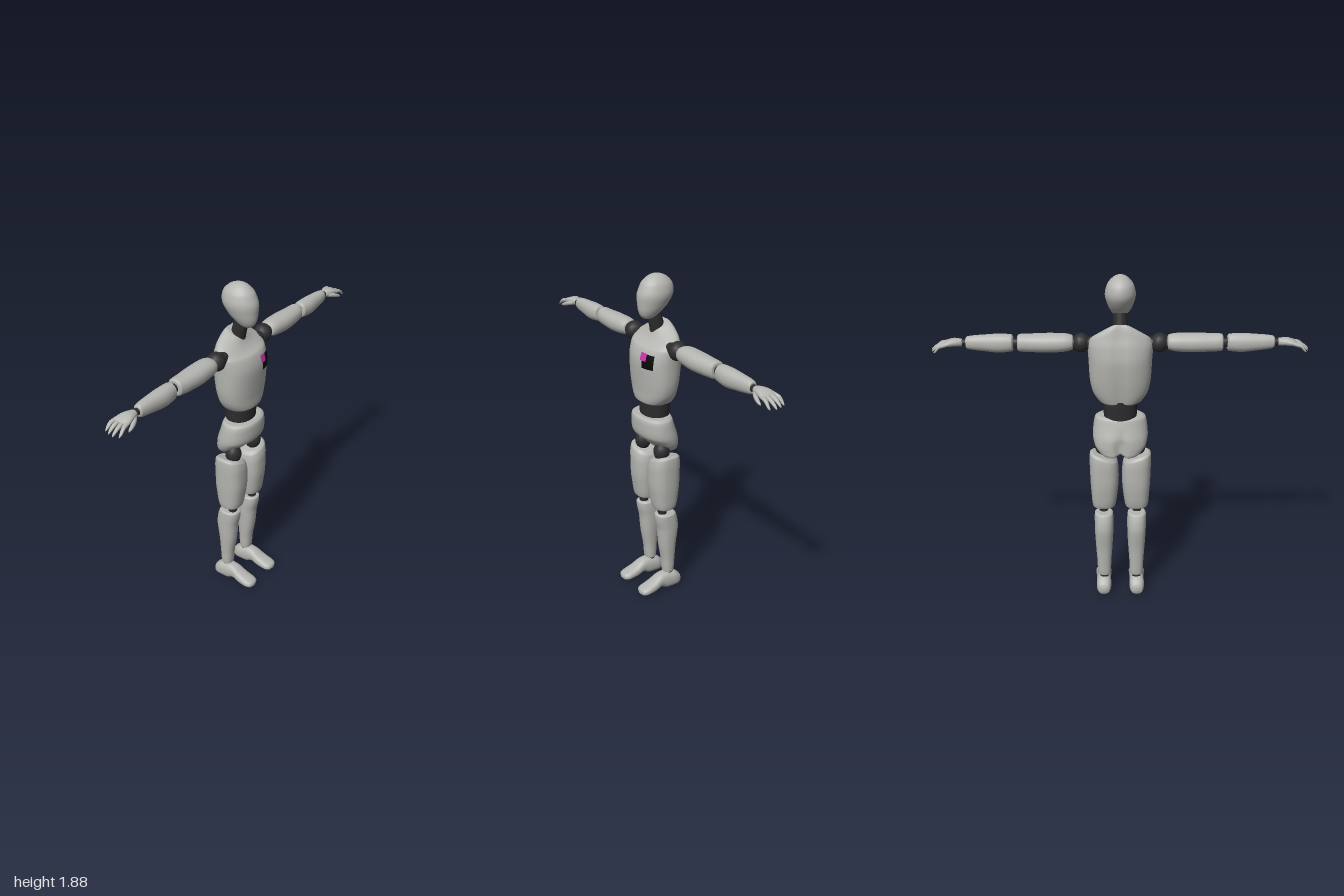
import * as THREE from 'three';

const makeMat = (name, color) => Object.assign(new THREE.MeshStandardMaterial({ color }), { name });

// Monotone cubic through rows [t, halfA, halfB, centreA, centreB]
function sample(rows, t) {
  const last = rows.length - 1;
  let i = 0;
  while (i < last - 1 && t > rows[i + 1][0]) i++;
  const d = (k, c) => (rows[k + 1][c] - rows[k][c]) / (rows[k + 1][0] - rows[k][0]);
  const slope = (k, c) => {
    if (k === 0) return d(0, c);
    if (k === last) return d(last - 1, c);
    const p = d(k - 1, c), q = d(k, c);
    return p * q <= 0 ? 0 : (2 * p * q) / (p + q);
  };
  const h = rows[i + 1][0] - rows[i][0], u = (t - rows[i][0]) / h;
  return [1, 2, 3, 4].map((c) =>
    rows[i][c] * (1 + 2 * u) * (1 - u) ** 2 + rows[i + 1][c] * u * u * (3 - 2 * u) +
    h * (slope(i, c) * u * (1 - u) ** 2 + slope(i + 1, c) * u * u * (u - 1)));
}

// Closed solid from superellipse sections along an axis; warp may move each vertex
function loft(rows, { axis = 'y', n = 2.2, seg = 28, sub = 4, warp } = {}) {
  const pos = [], idx = [], ts = [], v = new THREE.Vector3();
  rows.forEach((r, i) => {
    const next = rows[i + 1];
    if (next) for (let k = 0; k < sub; k++) ts.push(r[0] + ((next[0] - r[0]) * k) / sub);
    else ts.push(r[0]);
  });
  const put = (a, t, b) => {
    if (axis === 'x') v.set(t, a, b);
    else if (axis === 'z') v.set(a, b, t);
    else v.set(a, t, b);
    if (warp) warp(v);
    pos.push(v.x, v.y, v.z);
  };
  const pw = (c) => Math.sign(c) * Math.abs(c) ** (2 / n);
  const ring = (t) => {
    const [ha, hb, ca, cb] = sample(rows, t);
    for (let j = 0; j < seg; j++) {
      const a = (j / seg) * Math.PI * 2;
      put(ca + ha * pw(Math.cos(a)), t, cb + hb * pw(Math.sin(a)));
    }
    return [ca, cb];
  };
  const tri = (a, b, c) => (axis === 'y' ? idx.push(a, b, c) : idx.push(a, c, b));
  ts.forEach(ring);
  for (let i = 0; i < ts.length - 1; i++) for (let j = 0; j < seg; j++) {
    const a = i * seg + j, c = i * seg + ((j + 1) % seg);
    tri(a, a + seg, c);
    tri(a + seg, c + seg, c);
  }
  [ts[0], ts[ts.length - 1]].forEach((t, end) => {
    const base = pos.length / 3, [ca, cb] = ring(t);
    put(ca, t, cb);
    for (let j = 0; j < seg; j++) {
      const k = base + ((j + 1) % seg);
      if (end) tri(base + seg, k, base + j);
      else tri(base + seg, base + j, k);
    }
  });
  const g = new THREE.BufferGeometry();
  g.setAttribute('position', new THREE.Float32BufferAttribute(pos, 3));
  g.setIndex(idx);
  g.computeVertexNormals();
  return g;
}

function mirrored(geo) {
  const g = geo.clone().scale(-1, 1, 1), ix = g.index.array;
  for (let i = 0; i < ix.length; i += 3) [ix[i + 1], ix[i + 2]] = [ix[i + 2], ix[i + 1]];
  return g;
}

export function createModel() {
  const model = new THREE.Group();
  model.name = 'mannequin';
  const shell = makeMat('shell grey', 0xb5b5b1), joint = makeMat('joint charcoal', 0x2d2d2f);
  const black = makeMat('badge black', 0x080808), pink = makeMat('badge magenta', 0xcc35ac);
  const add = (name, geo, mat) => {
    const m = new THREE.Mesh(geo, mat);
    m.name = name;
    model.add(m);
  };
  const pair = (name, geo, mat) => {
    add(name + 'Left', geo, mat);
    add(name + 'Right', mirrored(geo), mat);
  };
  const ball = (x, y, z, rx, ry, rz) => new THREE.SphereGeometry(1, 14, 10).scale(rx, ry, rz).translate(x, y, z);
  const bell = (x, w) => Math.exp(-((x / w) ** 2));

  // Head and neck
  add('head', loft([[1.643, 0.004, 0.004, 0, 0.02], [1.65, 0.026, 0.03, 0, 0.018], [1.68, 0.05, 0.062, 0, 0.006],
    [1.72, 0.068, 0.086, 0, -0.012], [1.775, 0.081, 0.102, 0, -0.027], [1.825, 0.071, 0.09, 0, -0.034],
    [1.86, 0.045, 0.058, 0, -0.034], [1.874, 0.024, 0.03, 0, -0.032], [1.88, 0.003, 0.003, 0, -0.03]], { n: 2 }), shell);
  add('neck', loft([[1.52, 0.042, 0.044, 0, -0.05], [1.58, 0.04, 0.042, 0, -0.042], [1.64, 0.038, 0.04, 0, -0.028],
    [1.69, 0.036, 0.036, 0, -0.02]], { n: 2 }), joint);

  // Torso with a collar sloping down to the front and a shallow spine groove
  const torso = [[1.18, 0.1, 0.08, 0, -0.02], [1.19, 0.117, 0.09, 0, -0.018], [1.25, 0.152, 0.098, 0, -0.022],
    [1.32, 0.165, 0.106, 0, -0.025], [1.42, 0.17, 0.113, 0, -0.028], [1.5, 0.174, 0.098, 0, -0.035],
    [1.545, 0.16, 0.076, 0, -0.042], [1.585, 0.095, 0.056, 0, -0.052], [1.608, 0.05, 0.046, 0, -0.055]];
  add('torso', loft(torso, {
    n: 2.3, seg: 40, warp(v) {
      const s = THREE.MathUtils.smoothstep(v.y, 1.48, 1.6);
      if (v.z < -0.05) v.z += 0.01 * bell(v.x, 0.03);
      v.y -= s * (v.z + 0.055) * 0.55;
    },
  }), shell);

  // Chest badges following the torso surface
  const badge = (name, mat, x0, x1, y0, y1, lift) => {
    const g = new THREE.PlaneGeometry(x1 - x0, y1 - y0, 8, 8).translate((x0 + x1) / 2, (y0 + y1) / 2, 0);
    const p = g.attributes.position;
    for (let i = 0; i < p.count; i++) {
      const [hw, hd, , cz] = sample(torso, p.getY(i));
      p.setZ(i, cz + hd * (1 - (Math.abs(p.getX(i)) / hw) ** 2.3) ** (1 / 2.3) + lift);
    }
    g.computeVertexNormals();
    mat.side = THREE.DoubleSide;
    add(name, g, mat);
  };
  badge('chestBadge', black, 0.043, 0.12, 1.397, 1.475, 0.005);
  badge('chestBadgeCorner', pink, 0.031, 0.075, 1.438, 1.48, 0.008);

  // Waist and pelvis
  add('waist', loft([[1.08, 0.088, 0.072, 0, -0.025], [1.13, 0.092, 0.075, 0, -0.025], [1.2, 0.096, 0.078, 0, -0.025]]), joint);
  add('pelvis', loft([[0.875, 0.045, 0.02, 0, -0.095], [0.885, 0.09, 0.046, 0, -0.088], [0.91, 0.122, 0.066, 0, -0.07],
    [0.945, 0.143, 0.083, 0, -0.052], [0.99, 0.152, 0.104, 0, -0.026], [1.05, 0.147, 0.097, 0, -0.013],
    [1.088, 0.139, 0.09, 0, -0.009], [1.1, 0.122, 0.078, 0, -0.01]], {
    seg: 40, warp(v) {
      const low = 1 - THREE.MathUtils.smoothstep(v.y, 0.92, 1.06);
      if (v.z < -0.05) {
        v.z += 0.028 * low * bell(v.x, 0.022);
        v.y += 0.015 * low * bell(v.x, 0.025);
      }
    },
  }), shell);

  // Legs
  pair('hipJoint', ball(0.093, 0.9, -0.01, 0.046, 0.055, 0.045), joint);
  pair('thigh', loft([[0.545, 0.055, 0.05, 0.092, -0.028], [0.555, 0.064, 0.063, 0.092, -0.028], [0.62, 0.073, 0.076, 0.09, -0.028],
    [0.72, 0.08, 0.086, 0.089, -0.027], [0.8, 0.081, 0.086, 0.091, -0.027], [0.85, 0.077, 0.08, 0.093, -0.029],
    [0.866, 0.062, 0.066, 0.094, -0.03]], {
    n: 2.5, warp(v) { v.y += THREE.MathUtils.smoothstep(v.y, 0.72, 0.86) * (v.x - 0.09) * 0.32; },
  }), shell);
  pair('kneeJoint', loft([[0.48, 0.024, 0.026, 0.094, -0.025], [0.52, 0.026, 0.024, 0.095, -0.015],
    [0.56, 0.032, 0.03, 0.1, -0.02]]), joint);
  pair('shin', loft([[0.11, 0.03, 0.024, 0.093, -0.057], [0.116, 0.037, 0.032, 0.093, -0.057], [0.2, 0.041, 0.039, 0.093, -0.056],
    [0.3, 0.048, 0.051, 0.093, -0.051], [0.4, 0.053, 0.062, 0.093, -0.053], [0.46, 0.054, 0.066, 0.093, -0.044],
    [0.502, 0.052, 0.061, 0.094, -0.036], [0.51, 0.043, 0.05, 0.094, -0.035]], { n: 2.3 }), shell);
  pair('ankleJoint', loft([[0.08, 0.026, 0.026, 0.094, -0.062], [0.13, 0.024, 0.024, 0.094, -0.06]]), joint);
  pair('foot', loft([[-0.136, 0.012, 0.012, 0.096, 0.042], [-0.127, 0.033, 0.033, 0.096, 0.042], [-0.09, 0.043, 0.05, 0.096, 0.052],
    [-0.04, 0.042, 0.054, 0.096, 0.056], [0, 0.041, 0.042, 0.096, 0.063], [0.05, 0.045, 0.034, 0.097, 0.044],
    [0.1, 0.046, 0.026, 0.098, 0.032], [0.13, 0.036, 0.019, 0.098, 0.028], [0.14, 0.014, 0.009, 0.098, 0.027]],
  { axis: 'z', n: 2.4 }), shell);

  // Arms
  const X = { axis: 'x', n: 2.2, seg: 24 };
  pair('shoulderJoint', ball(0.208, 1.515, -0.03, 0.05, 0.052, 0.052), joint);
  pair('shoulderPin', loft([[0.14, 0.035, 0.035, 1.51, -0.032], [0.265, 0.032, 0.035, 1.515, -0.03]], X), joint);
  pair('upperArm', loft([[0.248, 0.028, 0.034, 1.517, -0.03], [0.255, 0.038, 0.046, 1.517, -0.03], [0.3, 0.048, 0.056, 1.516, -0.03],
    [0.38, 0.051, 0.059, 1.514, -0.028], [0.48, 0.048, 0.052, 1.514, -0.028], [0.535, 0.046, 0.044, 1.515, -0.03],
    [0.543, 0.037, 0.034, 1.515, -0.03]], X), shell);
  pair('elbowJoint', loft([[0.52, 0.024, 0.022, 1.515, -0.03], [0.59, 0.026, 0.022, 1.513, -0.03]], X), joint);
  pair('forearm', loft([[0.566, 0.034, 0.03, 1.514, -0.028], [0.574, 0.045, 0.04, 1.514, -0.028], [0.64, 0.05, 0.045, 1.512, -0.026],
    [0.72, 0.044, 0.039, 1.514, -0.027], [0.807, 0.034, 0.028, 1.516, -0.028], [0.816, 0.026, 0.021, 1.516, -0.028]], X), shell);
  pair('wristJoint', loft([[0.795, 0.019, 0.018, 1.516, -0.028], [0.845, 0.017, 0.018, 1.517, -0.028]], X), joint);

  // Hands: palm, four fingers and thumb
  pair('palm', loft([[0.832, 0.014, 0.016, 1.517, -0.028], [0.84, 0.02, 0.022, 1.517, -0.028], [0.875, 0.021, 0.036, 1.519, -0.03],
    [0.915, 0.015, 0.045, 1.515, -0.032], [0.935, 0.009, 0.043, 1.509, -0.032]], X), shell);
  const F = { axis: 'x', n: 2, seg: 10, sub: 2 };
  [[0.98, -0.068, -0.078], [0.993, -0.043, -0.049], [1, -0.019, -0.018], [0.988, 0.003, 0.012]].forEach(([tip, z0, z1], i) =>
    pair('finger' + (i + 1), loft([[0.91, 0.01, 0.011, 1.514, z0], [0.95, 0.011, 0.011, 1.506, (z0 + z1) / 2],
      [tip - 0.012, 0.008, 0.008, 1.486, z1], [tip, 0.003, 0.003, 1.476, z1]], F), shell));
  pair('thumb', loft([[0.85, 0.01, 0.01, 1.51, -0.008], [0.88, 0.013, 0.013, 1.504, 0.009],
    [0.915, 0.01, 0.01, 1.492, 0.021], [0.935, 0.004, 0.004, 1.485, 0.024]], F), shell);
  return model;
}
